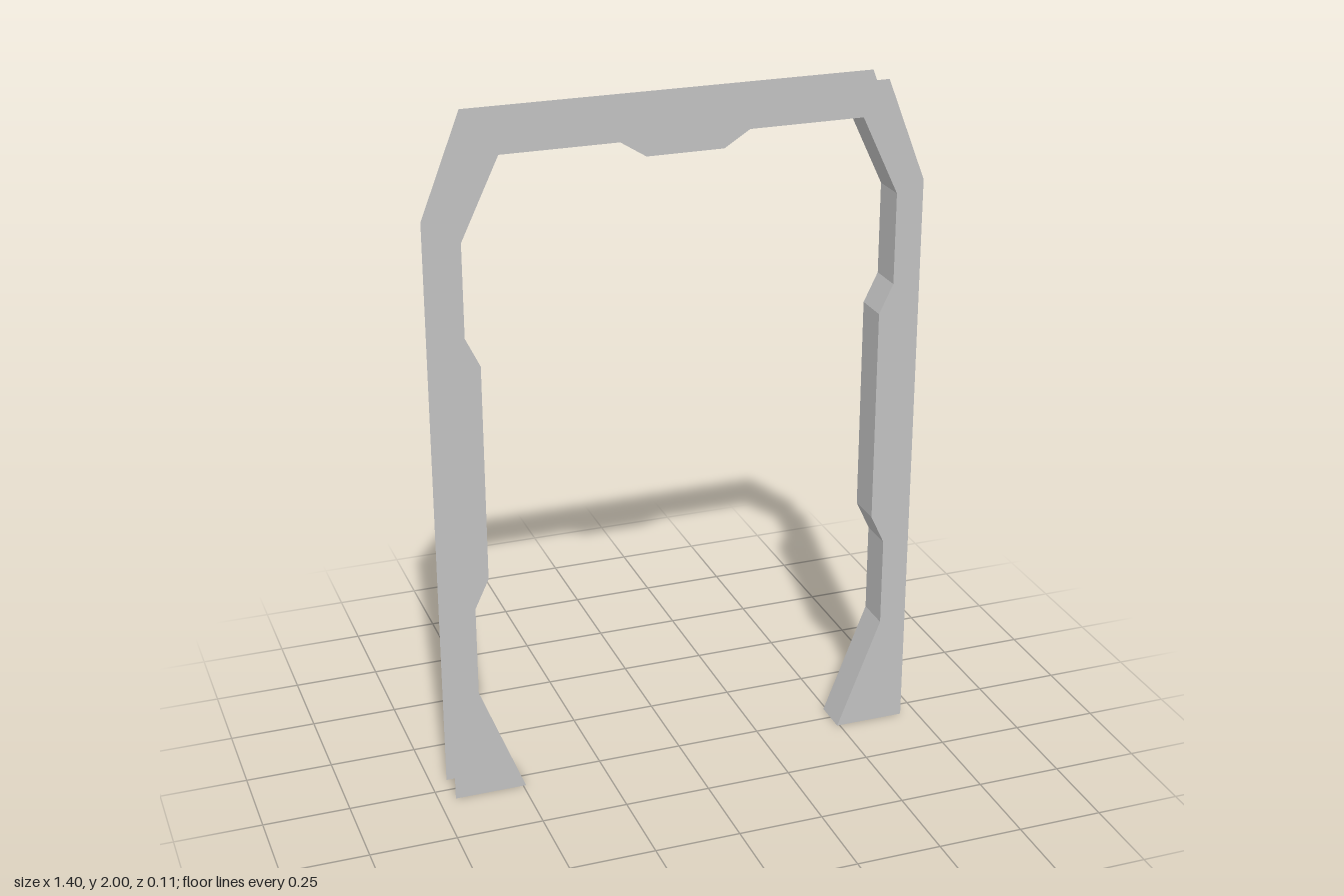
import * as THREE from 'three';

const DEPTH = 0.106;

// Half outlines on the +x side, from the foot up to the middle of the lintel
const INNER = [
  [0.492, 0], [0.622, 0.333], [0.622, 0.6], [0.581, 0.687], [0.581, 1.322], [0.622, 1.407],
  [0.622, 1.673], [0.514, 1.9], [0.183, 1.9], [0.11, 1.854],
];
const OUTER = [[0.702, 0], [0.702, 1.705], [0.587, 2]];

// Complete a half outline with its mirror image, running from +x foot to -x foot
const mirrored = (half) => [...half, ...half.map(([x, y]) => [-x, y]).reverse()]
  .map(([x, y]) => new THREE.Vector2(x, y));

// Open strip of flat faces following a path, spanning the depth of the frame
function stripGeometry(path, depth) {
  const pos = [];
  const h = depth / 2;
  for (let i = 0; i < path.length - 1; i++) {
    const a = path[i], b = path[i + 1];
    pos.push(a.x, a.y, h, a.x, a.y, -h, b.x, b.y, -h);
    pos.push(a.x, a.y, h, b.x, b.y, -h, b.x, b.y, h);
  }
  const geo = new THREE.BufferGeometry();
  geo.setAttribute('position', new THREE.Float32BufferAttribute(pos, 3));
  geo.computeVertexNormals();
  return geo;
}

export function createModel() {
  const group = new THREE.Group();
  group.name = 'doorFrame';

  const metal = new THREE.MeshStandardMaterial({ color: 0xc0c0c0, side: THREE.DoubleSide, flatShading: true });
  metal.name = 'greyMetal';

  const inner = mirrored(INNER);
  const outer = mirrored(OUTER);

  // Front and back face sheets
  const sheet = new THREE.ShapeGeometry(new THREE.Shape([...outer, ...inner.slice().reverse()]));
  for (const [name, side] of [['frontSheet', 1], ['backSheet', -1]]) {
    const mesh = new THREE.Mesh(sheet, metal);
    mesh.name = name;
    mesh.position.z = side * DEPTH / 2;
    if (side < 0) mesh.rotation.y = Math.PI;
    group.add(mesh);
  }

  // Inner lining of the opening; the outer edge and the feet stay open
  const lining = new THREE.Mesh(stripGeometry(inner, DEPTH), metal);
  lining.name = 'innerLining';
  group.add(lining);

  return group;
}
